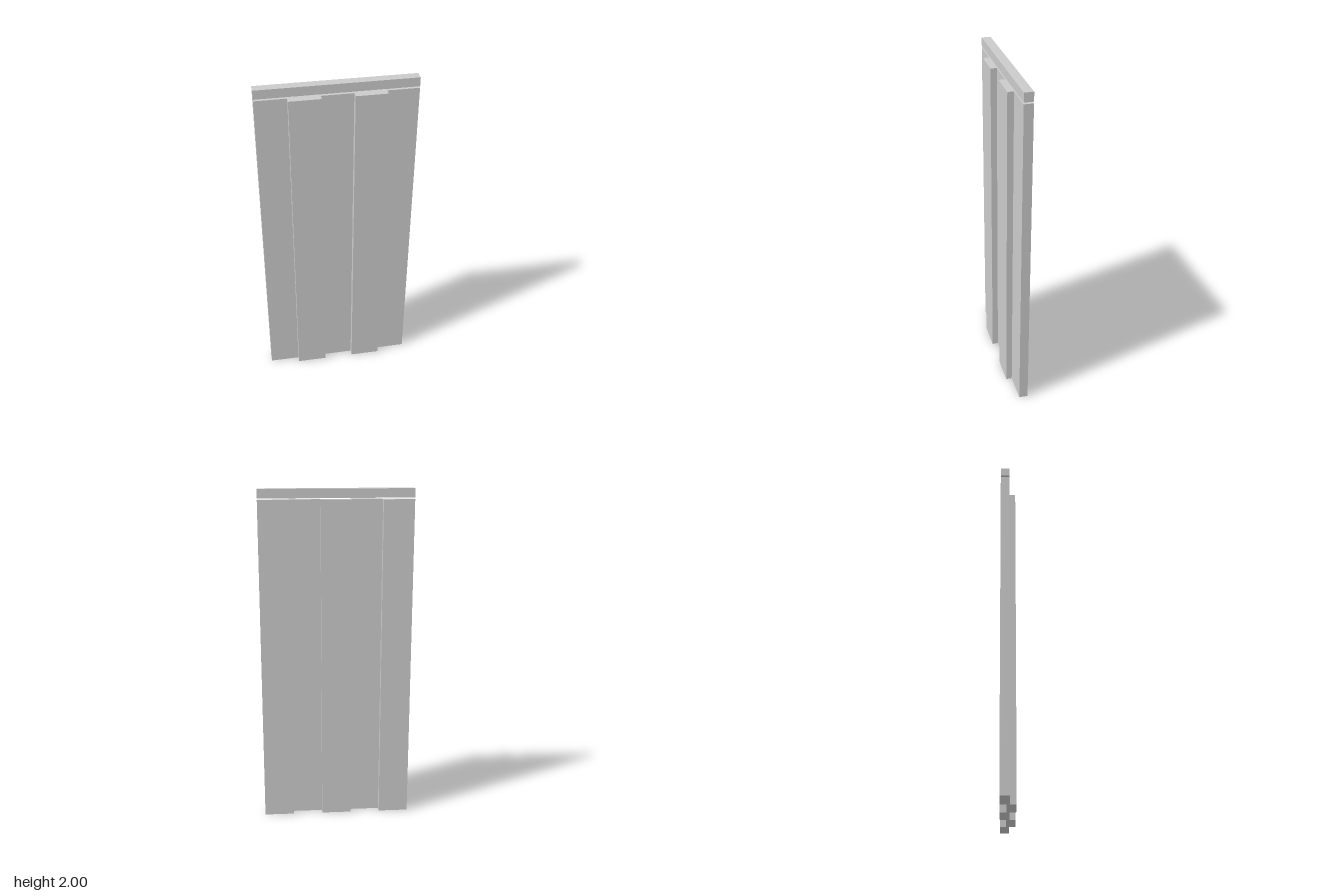
import * as THREE from 'three';

const WIDTH = 0.893;
const THICKNESS = 0.053;
const DEPTH = 0.089;
const PANEL_TOP = 1.939;
const RAIL_BOTTOM = 1.948;
const PANELS = 5;

export function createModel() {
  const group = new THREE.Group();
  group.name = 'verticalPanelBlind';
  const material = new THREE.MeshStandardMaterial({ color: 0xcccccc, flatShading: true });

  // Box given by its centre in x and z, and its bottom and top
  function addBox(name, width, bottom, top, x, z) {
    const mesh = new THREE.Mesh(new THREE.BoxGeometry(width, top - bottom, THICKNESS), material);
    mesh.name = name;
    mesh.position.set(x, (bottom + top) / 2, z);
    group.add(mesh);
  }

  const backZ = -(DEPTH - THICKNESS) / 2;

  // Hanging panels, alternately on the back and front track
  const panelWidth = WIDTH / PANELS;
  for (let i = 0; i < PANELS; i++) {
    const front = i % 2 === 1;
    const x = (i - (PANELS - 1) / 2) * panelWidth;
    addBox(front ? 'frontPanel' : 'backPanel', panelWidth, 0, PANEL_TOP, x, front ? -backZ : backZ);
  }

  // Top rail, a thin gap above the panels
  addBox('topRail', WIDTH, RAIL_BOTTOM, 2, 0, backZ);

  return group;
}
